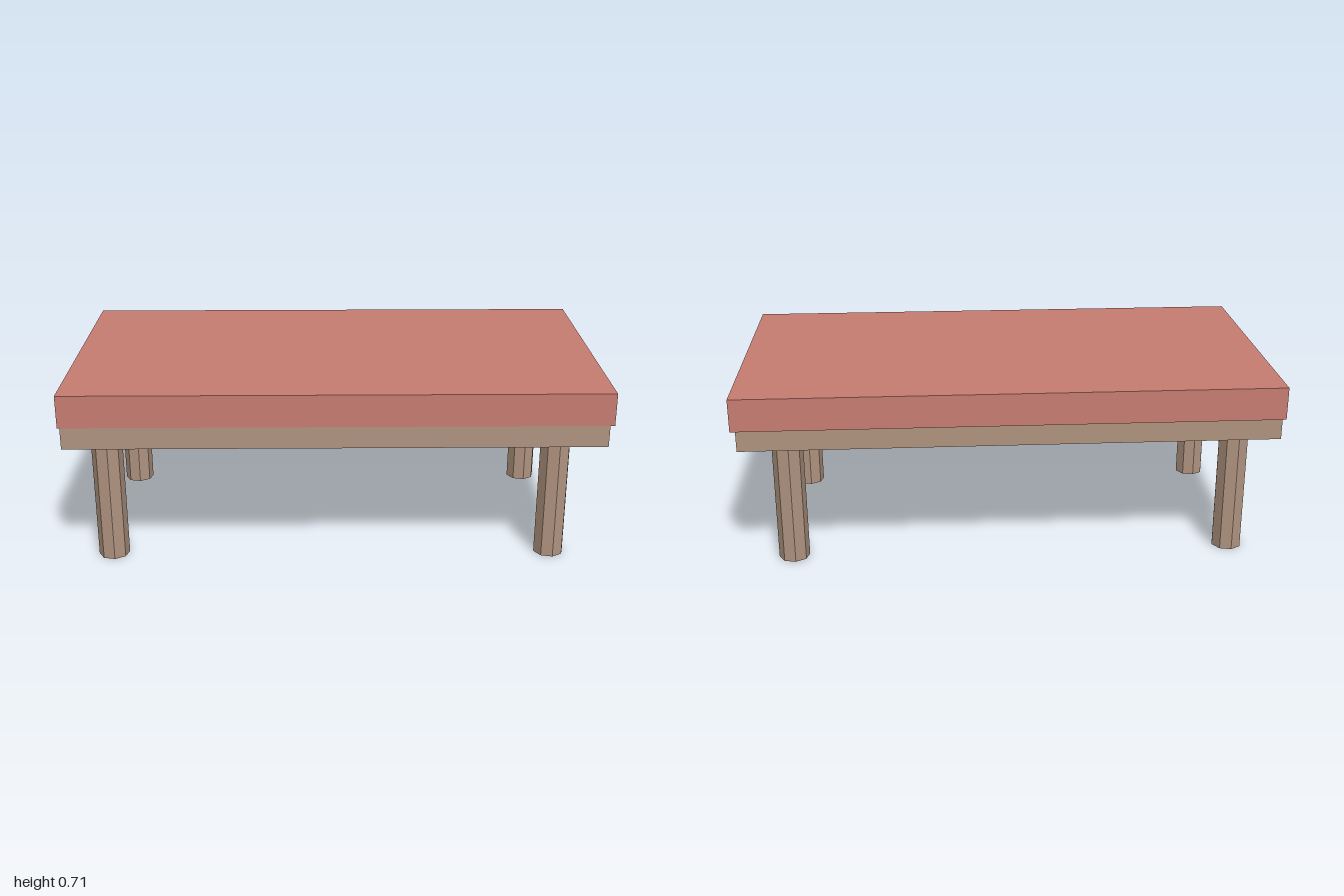
import * as THREE from 'three';

export function createModel() {
  const model = new THREE.Group();
  const wood = new THREE.MeshStandardMaterial({ color: 0xb09480, flatShading: true });
  const red = new THREE.MeshStandardMaterial({ color: 0xc87d72, flatShading: true });

  function add(name, geometry, material, x, y, z) {
    const mesh = new THREE.Mesh(geometry, material);
    mesh.name = name;
    mesh.position.set(x, y, z);
    model.add(mesh);
    return mesh;
  }

  // Thick padded top
  add('topSlab', new THREE.BoxGeometry(2, 0.122, 1.066), red, 0, 0.645, 0);

  // Frame under the top, set slightly off centre
  const T = 0.034, H = 0.083, Y = 0.542;
  const x0 = -0.992, x1 = 0.984, z0 = -0.513, z1 = 0.53;
  const cx = (x0 + x1) / 2, cz = (z0 + z1) / 2;

  // Long rails: back, middle, front
  const rails = { backRail: z0 + T / 2, middleRail: -0.01, frontRail: z1 - T / 2 };
  for (const [name, z] of Object.entries(rails)) {
    const length = name === 'middleRail' ? x1 - x0 - 2 * T : x1 - x0;
    add(name, new THREE.BoxGeometry(length, H, T), wood, cx, Y, z);
  }

  // Short end beams and the central cross beam
  const beams = { rightEndBeam: x0 + T / 2, crossBeam: cx, leftEndBeam: x1 - T / 2 };
  for (const [name, x] of Object.entries(beams)) {
    add(name, new THREE.BoxGeometry(T, H, z1 - z0 - 2 * T), wood, x, Y, cz);
  }

  // Faceted round legs, reaching up to the slab
  const legGeometry = new THREE.CylinderGeometry(0.058, 0.058, 0.585, 8);
  for (const [side, x] of [['Right', -0.857], ['Left', 0.823]]) {
    for (const [end, z] of [['front', 0.368], ['back', -0.355]]) {
      add(`${end}${side}Leg`, legGeometry, wood, x, 0.2925, z).rotation.y = 0.15;
    }
  }

  return model;
}
